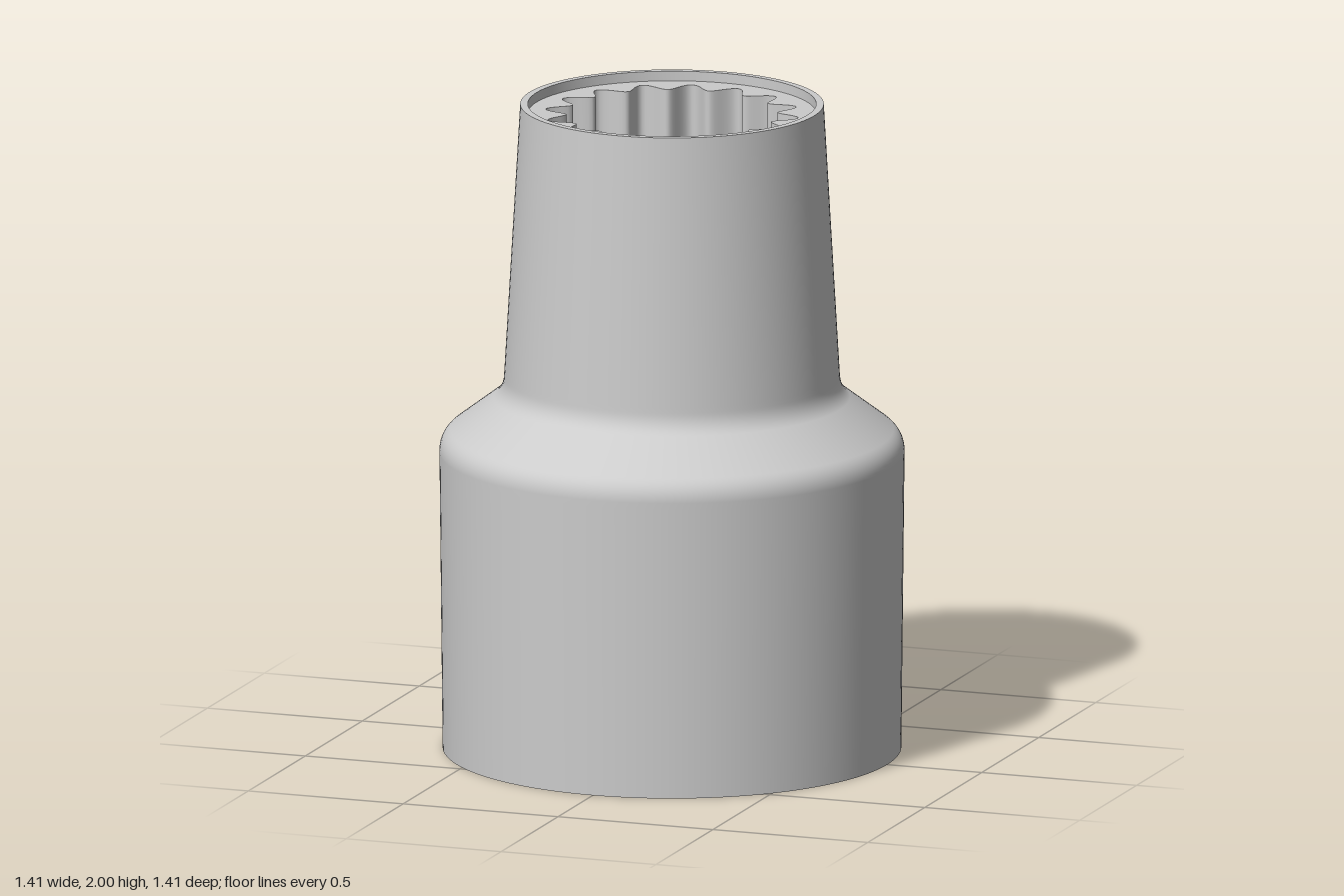
import * as THREE from 'three';

const SEGMENTS = 256;
const TOP = 2, LEDGE_Y = 1.97, SPLINE_FLOOR_Y = 1.2, SQUARE_TOP_Y = 0.88;
const BORE_R = 0.2, LIP_R = 0.437, TOP_R = 0.46, BASE_R = 0.695, CHAMFER_R = 0.67, SQUARE_HALF = 0.403;

// Outlines: each gives [radius, height] at an angle
const circle = (r, y) => () => [r, y];
const spline = (y) => (t) => [0.3535 - 0.0335 * Math.cos(16 * t), y];
const squareRadius = (t) => {
  const quarter = Math.PI / 2;
  return SQUARE_HALF / Math.cos(t - quarter * Math.round(t / quarter));
};
const square = (y) => (t) => [squareRadius(t), y];
// Edge where the 30 degree entry cone cuts the square hole
const squareMouth = (t) => {
  const r = squareRadius(t);
  return [r, (CHAMFER_R - r) * Math.tan(Math.PI / 6)];
};

// Surface between two outlines; faces inward when the second is above the first
function loft(a, b, start = 0, sweep = Math.PI * 2, n = SEGMENTS) {
  const positions = [], index = [];
  for (let i = 0; i <= n; i++) {
    const t = start + (sweep * i) / n;
    for (const outline of [a, b]) {
      const [r, y] = outline(t);
      positions.push(r * Math.cos(t), y, r * Math.sin(t));
    }
    if (i < n) {
      const k = i * 2;
      index.push(k, k + 2, k + 1, k + 2, k + 3, k + 1);
    }
  }
  const g = new THREE.BufferGeometry();
  g.setAttribute('position', new THREE.Float32BufferAttribute(positions, 3));
  g.setIndex(index);
  g.computeVertexNormals();
  return g;
}

// Outer profile with rounded shoulder and neck
function bodyProfile() {
  const v = (x, y) => new THREE.Vector2(x, y);
  const shoulder = new THREE.QuadraticBezierCurve(v(0.705, 0.92), v(0.705, 0.965), v(0.672, 0.99));
  const neck = new THREE.QuadraticBezierCurve(v(0.54, 1.09), v(0.511, 1.113), v(0.509, 1.155));
  return [v(BASE_R, 0), v(0.7045, 0.9), ...shoulder.getPoints(10), ...neck.getPoints(10), v(0.508, 1.17), v(TOP_R, TOP)];
}

export function createModel() {
  const model = new THREE.Group();
  model.name = 'socket';
  const material = new THREE.MeshStandardMaterial({ color: 0xcccccc });
  const add = (name, geometry, parent = model) => {
    const mesh = new THREE.Mesh(geometry, material);
    mesh.name = name;
    parent.add(mesh);
  };

  add('body', new THREE.LatheGeometry(bodyProfile(), 128));

  // Top rim, shallow counterbore and splined recess
  add('topRim', loft(circle(LIP_R, TOP), circle(TOP_R, TOP)));
  add('counterboreWall', loft(circle(LIP_R, LEDGE_Y), circle(LIP_R, TOP)));
  add('splineLedge', loft(spline(LEDGE_Y), circle(LIP_R, LEDGE_Y)));
  add('splineWall', loft(spline(SPLINE_FLOOR_Y), spline(LEDGE_Y)));
  add('splineFloor', loft(circle(BORE_R, SPLINE_FLOOR_Y), spline(SPLINE_FLOOR_Y)));

  // Through bore joining the two recesses
  add('bore', loft(circle(BORE_R, SQUARE_TOP_Y), circle(BORE_R, SPLINE_FLOOR_Y)));

  // Square drive hole with conical entry
  add('squareCeiling', loft(square(SQUARE_TOP_Y), circle(BORE_R, SQUARE_TOP_Y)));
  const drive = new THREE.Group();
  drive.name = 'squareDrive';
  model.add(drive);
  for (let k = 0; k < 4; k++) {
    const start = (k - 0.5) * Math.PI / 2;
    add('squareWall', loft(squareMouth, square(SQUARE_TOP_Y), start, Math.PI / 2, SEGMENTS / 4), drive);
  }
  add('entryChamfer', loft(circle(CHAMFER_R, 0), squareMouth));
  add('bottomRim', loft(circle(BASE_R, 0), circle(CHAMFER_R, 0)));

  return model;
}
